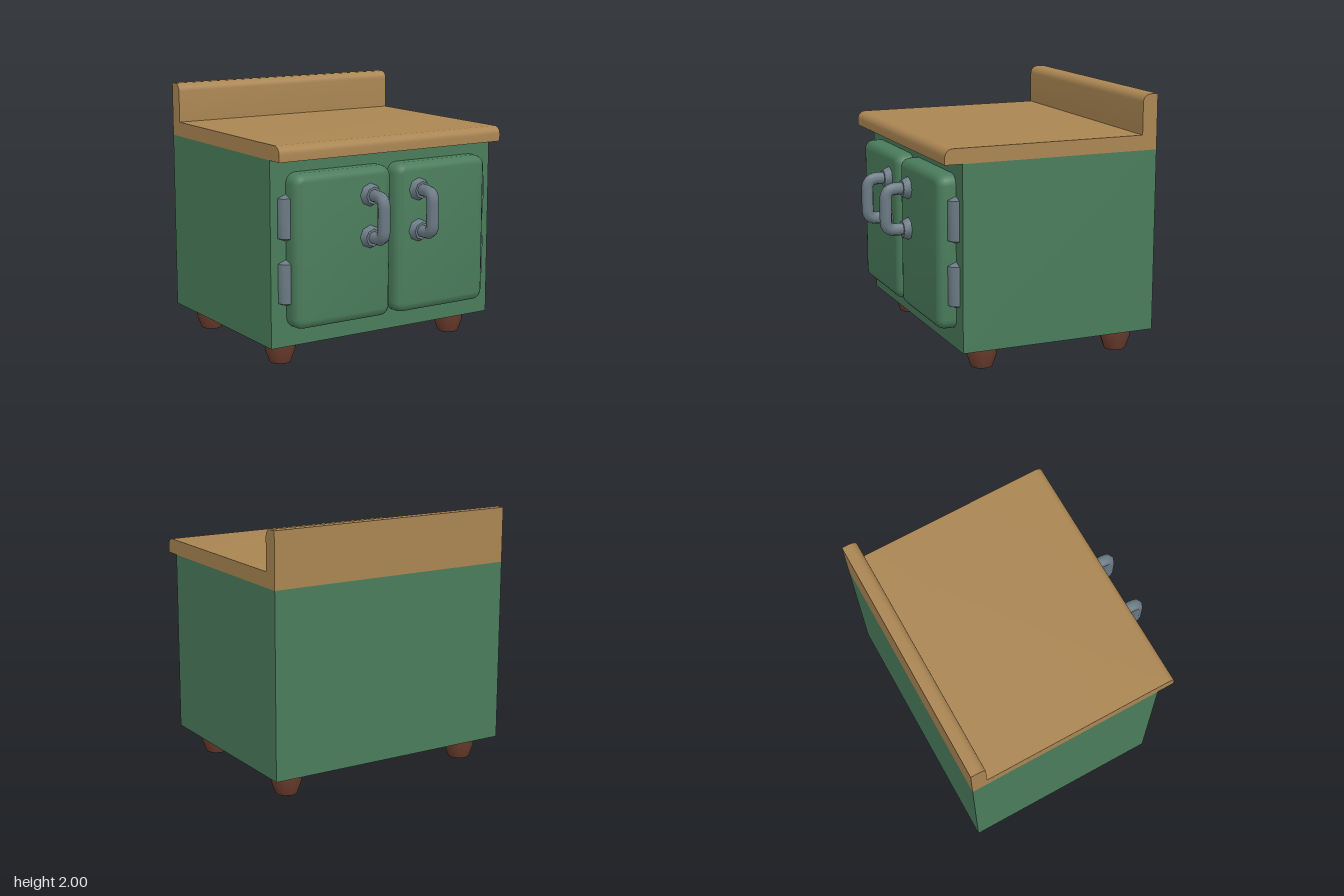
import * as THREE from 'three';
import { toCreasedNormals } from 'three/addons/utils/BufferGeometryUtils.js';

const flat = (name, color) => {
  const m = new THREE.MeshStandardMaterial({ color });
  m.name = name;
  return m;
};

export function createModel() {
  const green = flat('green paint', 0x4a7c5b);
  const wood = flat('wood', 0xaa8552);
  const steel = flat('grey metal', 0x6c7b85);
  const brown = flat('brown feet', 0x6a3b2c);

  const model = new THREE.Group();
  model.name = 'cabinet';

  const add = (name, geometry, material, x = 0, y = 0, z = 0, parent = model) => {
    const mesh = new THREE.Mesh(geometry, material);
    mesh.name = name;
    mesh.position.set(x, y, z);
    parent.add(mesh);
    return mesh;
  };
  const lathe = (points, sides) => toCreasedNormals(
    new THREE.LatheGeometry(points.map(([r, y]) => new THREE.Vector2(r, y)), sides), 0.85);

  // Cabinet body
  add('body', new THREE.BoxGeometry(1.99, 1.4, 1.56), green, 0, 0.88, -0.18);

  // Countertop and backsplash: one side profile (z, y) swept across x
  const r = 0.06;
  const top = new THREE.Shape();
  top.moveTo(-0.96, 1.58);
  top.lineTo(0.735, 1.58);
  top.lineTo(0.735, 1.695 - r);
  top.absarc(0.735 - r, 1.695 - r, r, 0, Math.PI / 2);
  top.lineTo(-0.84, 1.695);
  top.lineTo(-0.84, 2 - r);
  top.absarc(-0.84 - r, 2 - r, r, 0, Math.PI / 2);
  top.lineTo(-0.96, 2);
  const topGeo = new THREE.ExtrudeGeometry(top, { depth: 1.99, bevelEnabled: false, curveSegments: 3 });
  topGeo.translate(0, 0, -0.995).rotateY(-Math.PI / 2);
  add('countertop', toCreasedNormals(topGeo, 0.85), wood);

  // Door: rounded panel with a soft front edge, its back sunk in the body
  const w = 0.422, h = 0.578, c = 0.08;
  const panel = new THREE.Shape();
  panel.absarc(w - c, h - c, c, 0, Math.PI / 2);
  panel.absarc(c - w, h - c, c, Math.PI / 2, Math.PI);
  panel.absarc(c - w, c - h, c, Math.PI, Math.PI * 1.5);
  panel.absarc(w - c, c - h, c, Math.PI * 1.5, Math.PI * 2);
  const doorGeo = toCreasedNormals(new THREE.ExtrudeGeometry(panel, {
    depth: 0.1, curveSegments: 3, bevelSegments: 3,
    bevelSize: 0.06, bevelThickness: 0.06, bevelOffset: -0.06,
  }), 0.85);

  // Hinge barrel with pointed ends
  const hingeGeo = lathe([[0, -0.175], [0.07, -0.148], [0.07, 0.148], [0, 0.175]], 8);

  // Handle grip and its mounting cups
  const grip = new THREE.CurvePath();
  const v = (y, z) => new THREE.Vector3(0, y, z);
  const a = 0.158, out = 0.18, k = 0.075;
  grip.add(new THREE.LineCurve3(v(a, 0.03), v(a, out - k)));
  grip.add(new THREE.QuadraticBezierCurve3(v(a, out - k), v(a, out), v(a - k, out)));
  grip.add(new THREE.LineCurve3(v(a - k, out), v(k - a, out)));
  grip.add(new THREE.QuadraticBezierCurve3(v(k - a, out), v(-a, out), v(-a, out - k)));
  grip.add(new THREE.LineCurve3(v(-a, out - k), v(-a, 0.03)));
  const gripGeo = new THREE.TubeGeometry(grip, 24, 0.048, 8);
  const cupGeo = lathe([[0, -0.01], [0.088, 0], [0.066, 0.052], [0, 0.052]], 8).rotateX(Math.PI / 2);

  for (const side of [-1, 1]) {
    const label = side > 0 ? 'left' : 'right';
    add(label + 'Door', doorGeo, green, side * 0.443, 0.902, 0.575);
    add(label + 'UpperHinge', hingeGeo, steel, side * 0.865, 1.15, 0.597);
    add(label + 'LowerHinge', hingeGeo, steel, side * 0.865, 0.665, 0.597);

    const handle = new THREE.Group();
    handle.name = label + 'Handle';
    handle.position.set(side * 0.22, 1.118, 0.735);
    model.add(handle);
    add('grip', gripGeo, steel, 0, 0, 0, handle);
    add('upperCup', cupGeo, steel, 0, a, 0, handle);
    add('lowerCup', cupGeo, steel, 0, -a, 0, handle);
  }

  // Tapered feet
  const footGeo = lathe([[0, 0], [0.083, 0], [0.118, 0.1], [0.118, 0.19]], 10);
  for (const x of [-0.79, 0.79]) {
    for (const z of [-0.748, 0.373]) {
      add((z > 0 ? 'front' : 'back') + (x > 0 ? 'Left' : 'Right') + 'Foot', footGeo, brown, x, 0, z);
    }
  }
  return model;
}
